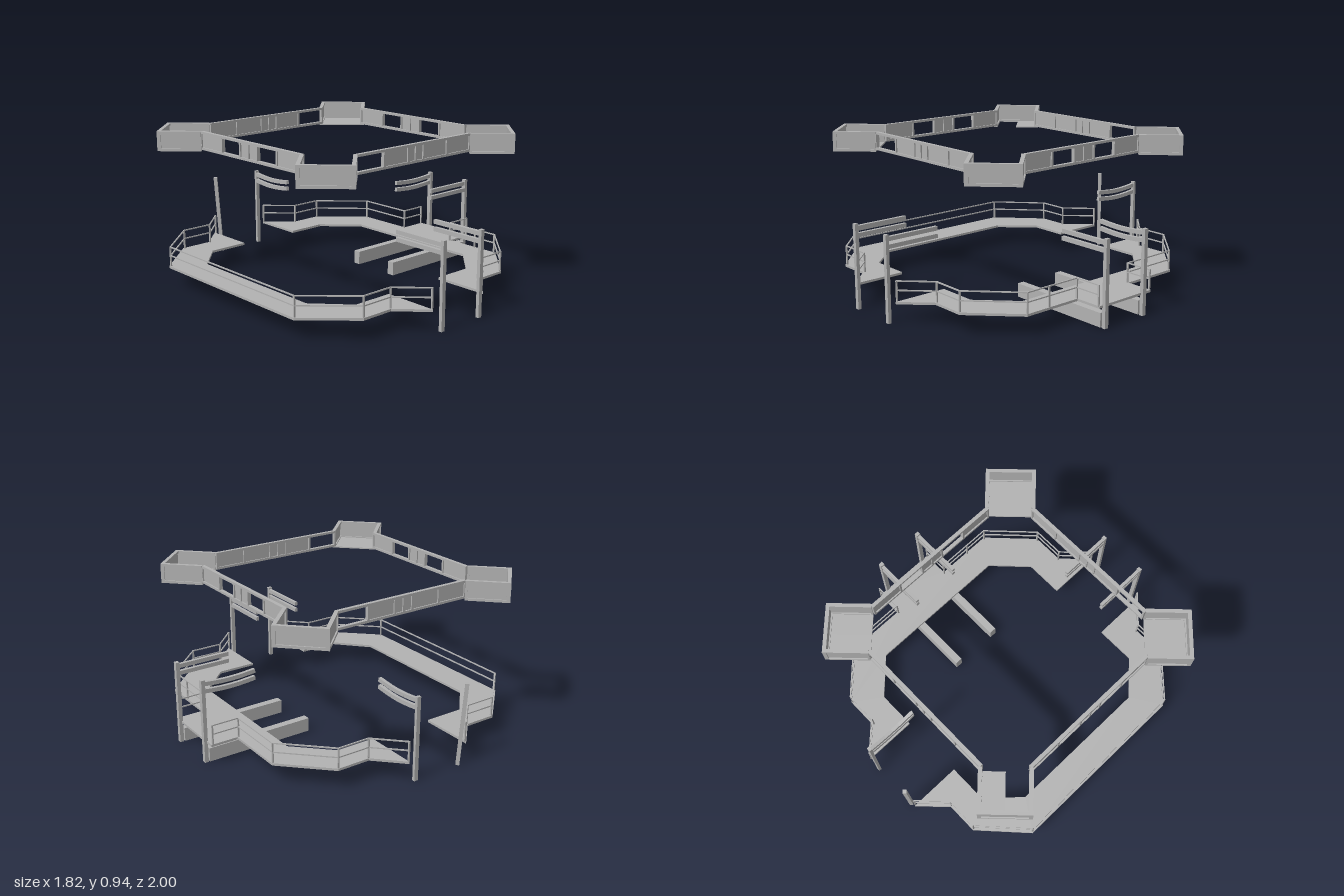
import * as THREE from 'three';

const grey = new THREE.MeshStandardMaterial({ color: 0xb2b2b2 });
grey.name = 'plain grey';

function box(parent, name, w, h, d, x, y, z) {
  const m = new THREE.Mesh(new THREE.BoxGeometry(w, h, d), grey);
  m.name = name;
  m.position.set(x, y, z);
  parent.add(m);
  return m;
}

// Square-cut bar between two points
function bar(parent, name, a, b, w, h = w) {
  const from = new THREE.Vector3(...a), to = new THREE.Vector3(...b);
  const m = box(parent, name, w, h, from.distanceTo(to), 0, 0, 0);
  m.position.copy(from).lerp(to, 0.5);
  m.lookAt(to);
  return m;
}

// Framed wall along local x; stops are post positions, open lists the bays without a panel
function framedWall(name, y0, y1, stops, open = []) {
  const g = new THREE.Group();
  g.name = name;
  const t = 0.014, mid = (y0 + y1) / 2;
  const a = stops[0], b = stops[stops.length - 1];
  for (const y of [y0 + t / 2, y1 - t / 2]) box(g, 'frameRail', b - a, t, 0.022, (a + b) / 2, y, 0);
  stops.forEach((x, i) => {
    const px = i === 0 ? x + 0.006 : i === stops.length - 1 ? x - 0.006 : x;
    box(g, 'framePost', 0.012, y1 - y0 - 2 * t, 0.022, px, mid, 0);
    if (i && !open.includes(i - 1)) {
      box(g, 'infillPanel', x - stops[i - 1], y1 - y0 - t, 0.006, (x + stops[i - 1]) / 2, mid, 0);
    }
  });
  return g;
}

// Corner balcony: outer wall, two side walls, floor in two halves
function cornerBalcony(missingHalf) {
  const g = new THREE.Group();
  g.name = 'cornerBalcony';
  const hw = 0.148, hd = 0.1275;
  const outer = framedWall('balconyOuterWall', 0.82, 0.937, [-hw, hw]);
  outer.position.z = hd - 0.011;
  g.add(outer);
  for (const s of [-1, 1]) {
    const side = framedWall('balconySideWall', 0.82, 0.937, [-hd, hd]);
    side.rotation.y = Math.PI / 2;
    side.position.x = s * (hw - 0.011);
    g.add(side);
    if (s !== missingHalf) box(g, 'balconyFloor', hw, 0.008, 2 * hd, s * hw / 2, 0.823, 0);
  }
  return g;
}

// Flat deck from an outline of [x, z] points
function deck(name, points) {
  const shape = new THREE.Shape(points.map(([x, z]) => new THREE.Vector2(x, -z)));
  const geo = new THREE.ExtrudeGeometry(shape, { depth: 0.014, bevelEnabled: false });
  geo.rotateX(-Math.PI / 2);
  const m = new THREE.Mesh(geo, grey);
  m.name = name;
  m.position.y = 0.118;
  return m;
}

// Railing with posts and two rails along a path of [x, z] points
function railing(path) {
  const g = new THREE.Group();
  g.name = 'railing';
  const p = path.map(([x, z]) => [x * 0.99, z * 0.99]);
  p.forEach(([x, z], i) => {
    box(g, 'railingPost', 0.009, 0.122, 0.009, x, 0.19, z);
    if (i) for (const y of [0.195, 0.248]) bar(g, 'handrail', [p[i - 1][0], y, p[i - 1][1]], [x, y, z], 0.007);
  });
  return g;
}

// Pair of arms reaching from a post, optionally sagging in the middle
function arms(parent, a, b, sag = 0) {
  for (const [y, h] of [[0.476, 0.024], [0.433, 0.024]]) {
    const n = sag ? 6 : 1;
    const at = (t) => [
      a[0] + (b[0] - a[0]) * t,
      y - sag * Math.sin(Math.PI * t),
      a[1] + (b[1] - a[1]) * t,
    ];
    for (let i = 0; i < n; i++) bar(parent, 'bracketArm', at(i / n), at((i + 1) / n), 0.02, h);
  }
}

export function createModel() {
  const model = new THREE.Group();
  model.name = 'walkwayStructure';

  // Upper ring of walls and corner balconies
  const ring = new THREE.Group();
  ring.name = 'upperRing';
  ring.position.x = -0.08;
  const R = 0.635;
  const longStops = [-0.45, -0.24, -0.06, 0, 0.06, 0.25, 0.45];
  const sideStops = [-0.45, -0.245, -0.075, 0, 0.075, 0.245, 0.45];
  for (let i = 0; i < 4; i++) {
    const angle = i * Math.PI / 2;
    const wall = i % 2
      ? framedWall('sideWall', 0.83, 0.937, sideStops, [1, 4])
      : framedWall('longWall', 0.83, 0.937, longStops, [0]);
    wall.rotation.y = angle;
    wall.position.set(Math.sin(angle) * R, 0, Math.cos(angle) * R);
    ring.add(wall);

    const diag = angle + Math.PI / 4;
    const corner = cornerBalcony(i === 2 ? 1 : 0);
    corner.rotation.y = diag;
    corner.position.set(Math.sign(Math.sin(diag)) * R, 0, Math.sign(Math.cos(diag)) * R);
    ring.add(corner);
  }
  // The half-floored balcony lacks the half beside the side wall
  model.add(ring);

  // Lower decks, each mirrored front to back
  const mirror = (pts) => [...pts, ...pts.map(([x, z]) => [x, -z]).reverse()];
  const leftOuter = [[-0.285, 0.975], [-0.44, 0.82], [-0.635, 0.82], [-0.895, 0.575]];
  const leftInner = [[-0.71, 0.455], [-0.53, 0.65], [-0.285, 0.65]];
  const rightOuter = [[0.12, 0.975], [0.275, 0.82], [0.475, 0.82], [0.73, 0.57], [0.73, 0.205], [0.895, 0.205]];
  const rightInner = [[0.56, 0.455], [0.36, 0.65], [0.12, 0.65]];
  const ringOutline = (outer, inner) => [...mirror(outer), ...mirror(inner.slice().reverse()).reverse()];
  model.add(deck('leftDeck', ringOutline(leftOuter, leftInner)));
  model.add(deck('rightDeck', ringOutline(rightOuter, rightInner)));

  // Railings, left open at the end of the side platform
  model.add(railing(mirror(leftOuter)));
  model.add(railing(rightOuter));
  model.add(railing(rightOuter.map(([x, z]) => [x, -z])));
  box(model, 'railingPost', 0.009, 0.122, 0.009, 0.723, 0.19, 0.41);

  // Front gate posts with straight arms
  for (const x of [-0.23, 0.07]) {
    box(model, 'gatePost', 0.025, 0.5, 0.02, x, 0.25, 0.99);
    arms(model, [x, 0.985], [x, 0.655]);
  }

  // Back gate: one sound post with sagging arms, one leaning post
  box(model, 'gatePost', 0.025, 0.5, 0.018, 0.07, 0.25, -0.966);
  arms(model, [0.067, -0.96], [0.067, -0.635], 0.013);
  bar(model, 'leaningPost', [-0.235, 0.001, -0.967], [-0.256, 0.499, -0.987], 0.022);

  // Side gate posts, arms and ground beams
  for (const [z, sag] of [[0.164, 0], [-0.137, 0.01]]) {
    box(model, 'gatePost', 0.023, 0.5, 0.026, 0.9, 0.25, z);
    arms(model, [0.89, z], [0.57, z], sag);
    box(model, 'groundBeam', 0.665, 0.082, 0.045, 0.553, 0.046, z);
  }

  return model;
}
